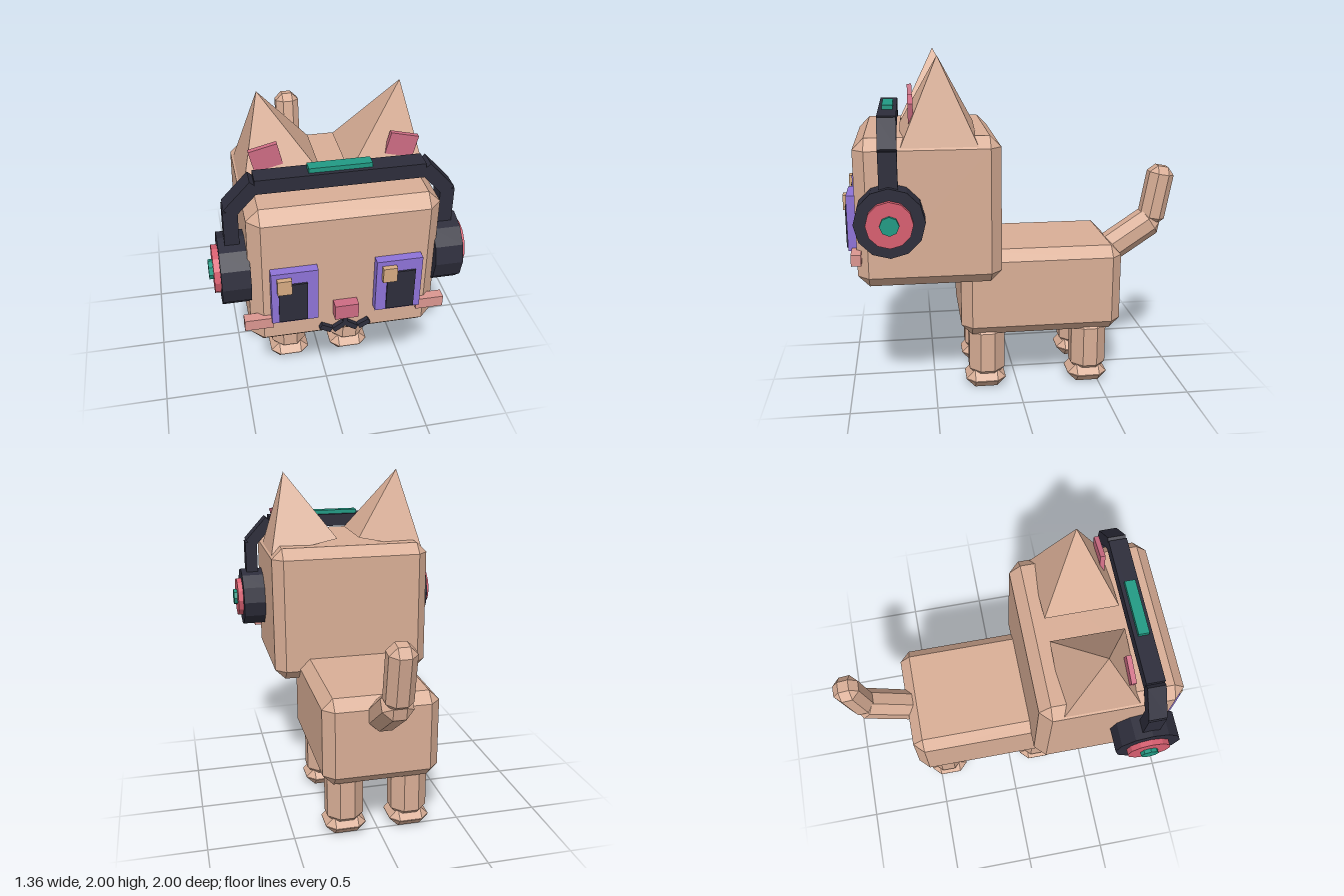
import * as THREE from 'three';
import { ConvexGeometry } from 'three/addons/geometries/ConvexGeometry.js';

const mat = (name, color) => {
  const m = new THREE.MeshStandardMaterial({ color });
  m.name = name;
  return m;
};

// Box with bevelled edges and corners
function chamferBox(w, h, d, c) {
  const pts = [];
  for (const x of [-1, 1]) for (const y of [-1, 1]) for (const z of [-1, 1]) {
    const X = w / 2, Y = h / 2, Z = d / 2;
    pts.push(
      new THREE.Vector3(x * X, y * (Y - c), z * (Z - c)),
      new THREE.Vector3(x * (X - c), y * Y, z * (Z - c)),
      new THREE.Vector3(x * (X - c), y * (Y - c), z * Z));
  }
  return new ConvexGeometry(pts);
}

export function createModel() {
  const fur = mat('fur', 0xd9ae96);
  const dark = mat('dark', 0x2d2d3b);
  const coral = mat('coral', 0xd85f70);
  const rose = mat('rose', 0xcd6c83);
  const blush = mat('blush', 0xdb9690);
  const teal = mat('teal', 0x219a84);
  const purple = mat('purple', 0x8e73d8);
  const glint = mat('glint', 0xd6ab82);

  const model = new THREE.Group();
  model.name = 'cat';

  const add = (name, geometry, material, x, y, z, parent = model) => {
    const mesh = new THREE.Mesh(geometry, material);
    mesh.name = name;
    mesh.position.set(x, y, z);
    parent.add(mesh);
    return mesh;
  };
  const box = (name, material, w, h, d, x, y, z, parent) =>
    add(name, new THREE.BoxGeometry(w, h, d), material, x, y, z, parent);
  // Faceted disc whose axis runs along x
  const disc = (name, material, r, sides, x0, x1, side, parent) => {
    const g = new THREE.CylinderGeometry(r, r, x1 - x0, sides).toNonIndexed();
    g.rotateZ(Math.PI / 2);
    g.computeVertexNormals();
    return add(name, g, material, side * (x0 + x1) / 2, 1.15, 0.73, parent);
  };

  // Body and head
  add('body', chamferBox(0.68, 0.525, 0.96, 0.062), fur, 0, 0.617, -0.14);
  add('head', chamferBox(0.98, 0.835, 0.805, 0.063), fur, 0, 1.157, 0.517);

  // Legs and paws
  for (const s of [-1, 1]) for (const z of [0.186, -0.442]) {
    add('leg', chamferBox(0.215, 0.37, 0.213, 0.064), fur, s * 0.193, 0.235, z);
    add('paw', chamferBox(0.24, 0.11, 0.24, 0.053), fur, s * 0.193, 0.055, z + 0.008);
  }

  // Tail in two segments
  add('tailBase', chamferBox(0.174, 0.41, 0.174, 0.05), fur, 0, 0.858, -0.735).rotation.x = -0.98;
  add('tailTip', chamferBox(0.155, 0.37, 0.155, 0.045), fur, 0, 1.112, -0.904).rotation.x = -0.18;

  // Ears, leaning outwards
  for (const s of [-1, 1]) {
    const g = new THREE.ConeGeometry(0.297, 0.445, 4).toNonIndexed();
    g.rotateY(Math.PI / 4);
    g.computeVertexNormals();
    add('ear', g, fur, s * 0.32, 1.783, 0.453).rotation.z = -s * 0.205;
    box('innerEar', rose, 0.15, 0.12, 0.028, s * 0.35, 1.712, 0.602).rotation.z = -s * 0.24;
  }

  // Face
  for (const s of [-1, 1]) {
    const x = s * 0.27;
    box('eye', purple, 0.24, 0.315, 0.055, x, 1.095, 0.94);
    box('pupil', dark, 0.147, 0.235, 0.012, s * 0.28, 1.067, 0.971);
    box('eyeGlint', glint, 0.073, 0.085, 0.03, x - 0.055, 1.182, 0.98);
    box('cheek', blush, 0.148, 0.063, 0.055, s * 0.455, 0.924, 0.92);
    box('mouthInner', dark, 0.075, 0.03, 0.03, s * 0.032, 0.833, 0.93).rotation.z = -s * 0.6;
    box('mouthOuter', dark, 0.065, 0.03, 0.03, s * 0.102, 0.832, 0.93).rotation.z = s * 0.5;
  }
  box('nose', rose, 0.125, 0.087, 0.06, 0, 0.958, 0.945);
  box('mouthLine', dark, 0.025, 0.085, 0.03, 0, 0.88, 0.93);

  // Headphones
  const phones = new THREE.Group();
  phones.name = 'headphones';
  model.add(phones);
  box('headband', dark, 0.86, 0.078, 0.104, 0, 1.651, 0.73, phones);
  box('headbandPad', teal, 0.32, 0.04, 0.06, 0, 1.695, 0.73, phones);
  for (const s of [-1, 1]) {
    box('bandCorner', dark, 0.2, 0.072, 0.102, s * 0.494, 1.588, 0.73, phones).rotation.z = -s * 0.83;
    box('bandPost', dark, 0.075, 0.25, 0.1, s * 0.555, 1.4, 0.73, phones);
    disc('earCup', dark, 0.19, 12, 0.48, 0.628, s, phones);
    disc('earCupRing', coral, 0.126, 12, 0.6, 0.66, s, phones);
    disc('earCupButton', teal, 0.052, 8, 0.64, 0.682, s, phones);
  }
  return model;
}
